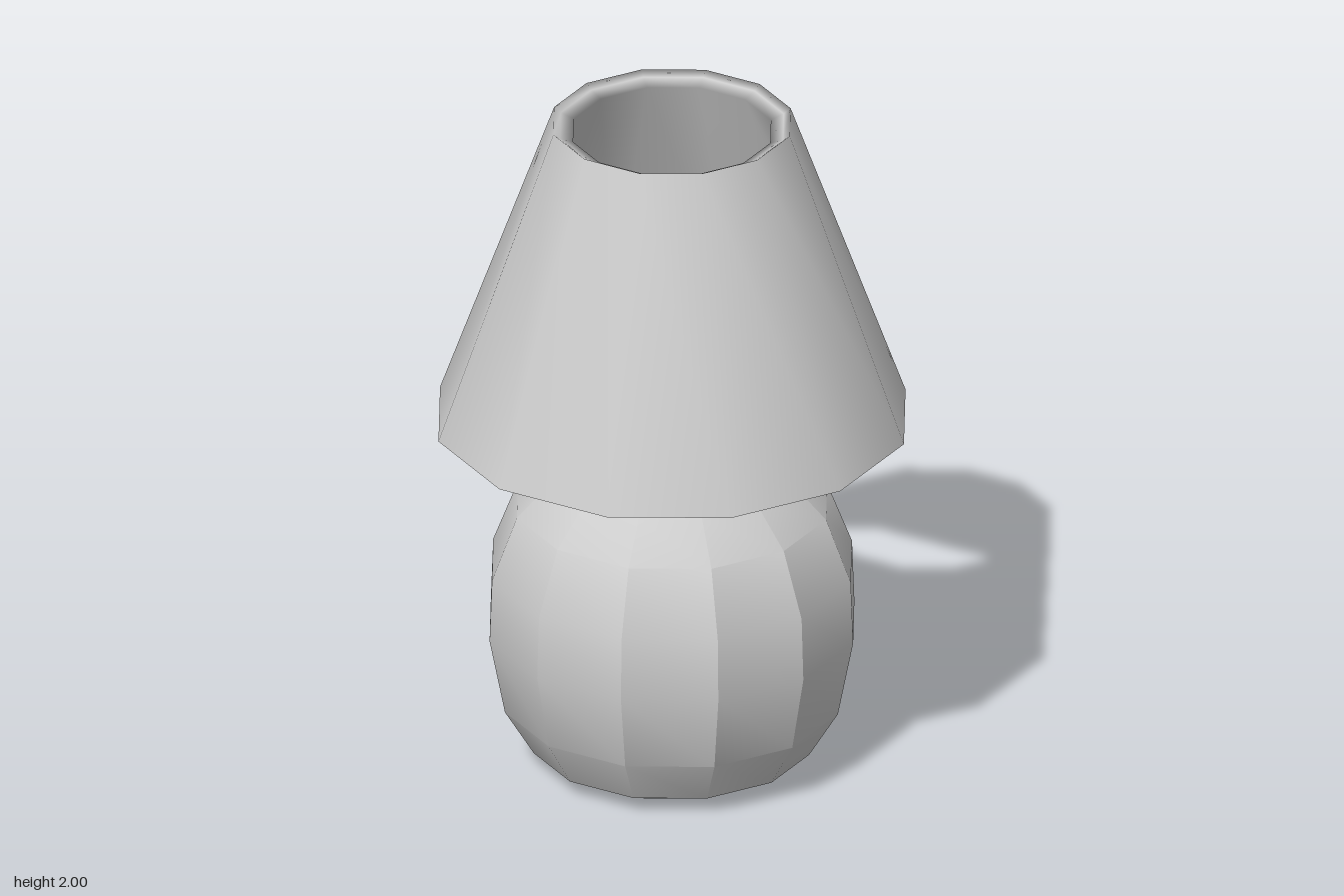
import * as THREE from 'three';
import { toCreasedNormals } from 'three/addons/utils/BufferGeometryUtils.js';

const SIDES = 12;

// Revolve a list of [radius, height] pairs into a twelve-sided shape
function turned(profile) {
  return new THREE.LatheGeometry(profile.map(([r, y]) => new THREE.Vector2(r, y)), SIDES);
}

export function createModel() {
  const group = new THREE.Group();
  const material = new THREE.MeshStandardMaterial({ color: 0xcccccc, side: THREE.DoubleSide });

  function add(name, geometry) {
    const mesh = new THREE.Mesh(geometry, material);
    mesh.name = name;
    group.add(mesh);
  }

  // Rounded body, with sharp edges between its upright panels
  add('body', toCreasedNormals(turned([
    [0, 0], [0.3, 0], [0.405, 0.05], [0.49, 0.19], [0.535, 0.42],
    [0.528, 0.61], [0.455, 0.8], [0.35, 0.905], [0.16, 0.99],
  ]), 0.46));

  // Bulb holder rising into the shade, with a softly shaded top
  add('neck', turned([[0.162, 0.98], [0.162, 1.22], [0, 1.22]]));

  // Hollow shade: outer wall, inward lip at the top, inner wall
  add('shade', turned([
    [0.685, 1.07], [0.348, 2], [0.328, 1.985], [0.29, 1.97], [0.683, 1.07],
  ]));

  return group;
}
